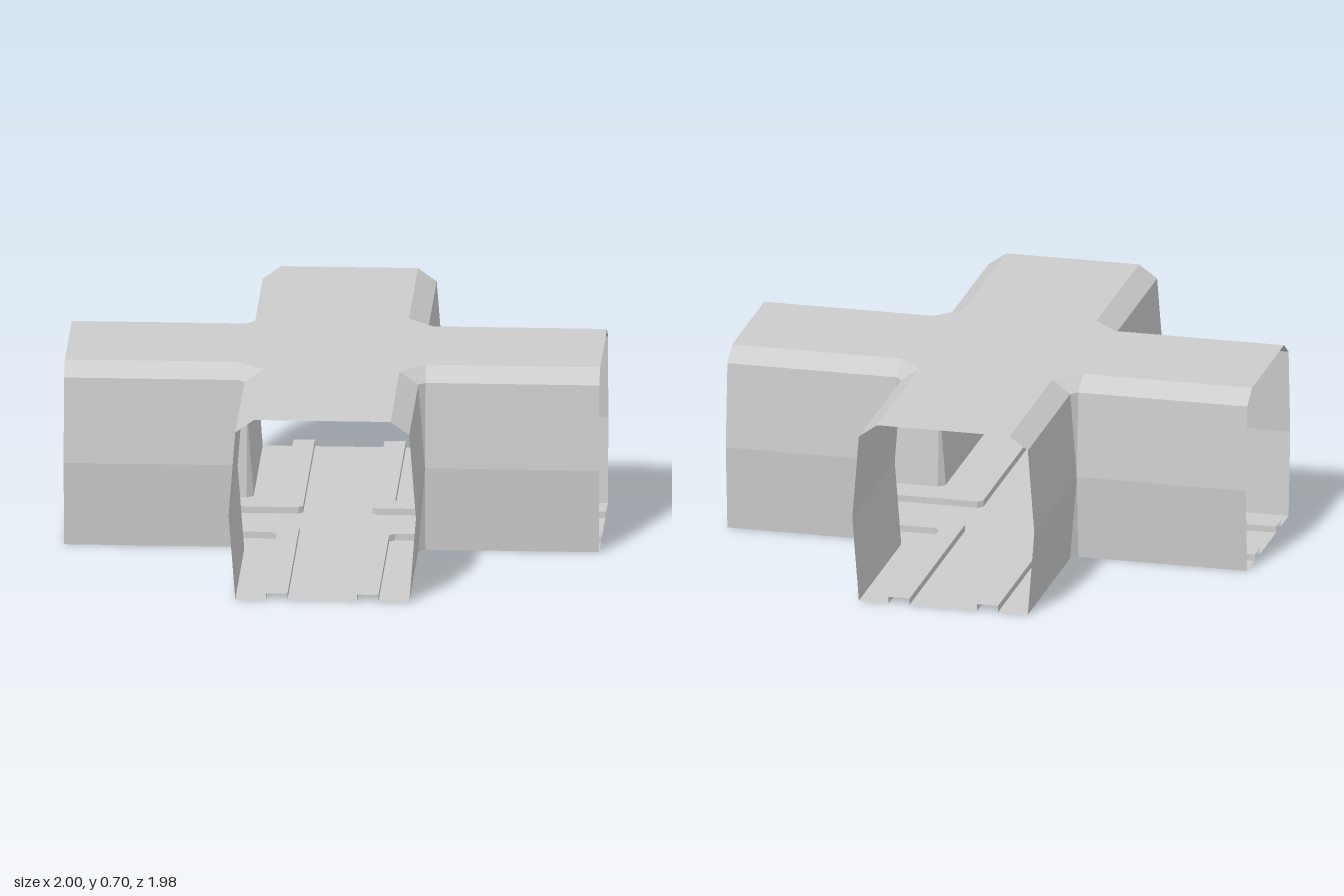
import * as THREE from 'three';

const Z_INSET = 0.008; // the z side is very slightly tighter than the x side

// Contour round one corner of the crossing: along an arm, across the corner cut, along the next arm
// a = distance from the arm's centre line, c = where the corner cut begins
const contour = ([a, c, y]) =>
  [[1, a], [c, a], [a, c], [a, 1]].map(([x, z]) => new THREE.Vector3(x, y, z - Z_INSET));

// Skin a list of contours, mirrored into the quadrant (sx, sz)
function skin(rows, sx, sz) {
  const pos = [];
  const tri = (...p) => {
    if (p[0].distanceTo(p[1]) < 1e-5 || p[1].distanceTo(p[2]) < 1e-5 || p[2].distanceTo(p[0]) < 1e-5) return;
    if (sx * sz < 0) p.reverse();
    p.forEach(v => pos.push(v.x * sx, v.y, v.z * sz));
  };
  const lines = rows.map(contour);
  for (let i = 0; i < lines.length - 1; i++) {
    for (let j = 0; j < 3; j++) {
      const a = lines[i][j], b = lines[i][j + 1], c = lines[i + 1][j + 1], d = lines[i + 1][j];
      tri(a, b, c);
      tri(a, c, d);
    }
  }
  const g = new THREE.BufferGeometry();
  g.setAttribute('position', new THREE.Float32BufferAttribute(pos, 3));
  g.computeVertexNormals();
  return g;
}

// Flat cross-shaped plate filling the space between the four contours
function crossPlate(row, up) {
  const pts = [];
  [[1, 1], [-1, 1], [-1, -1], [1, -1]].forEach(([sx, sz]) => {
    const line = contour(row).map(v => new THREE.Vector2(v.x * sx, v.z * sz));
    if (sx * sz < 0) line.reverse();
    pts.push(...line);
  });
  const g = new THREE.ShapeGeometry(new THREE.Shape(pts));
  g.rotateX(up ? -Math.PI / 2 : Math.PI / 2);
  g.translate(0, row[2], 0);
  return g;
}

export function createModel() {
  const group = new THREE.Group();
  group.name = 'tunnelCrossing';
  const grey = new THREE.MeshStandardMaterial({ color: 0xcccccc, side: THREE.DoubleSide });
  grey.name = 'light grey';
  const add = (name, geometry) => {
    const m = new THREE.Mesh(geometry, grey);
    m.name = name;
    group.add(m);
  };

  // Rows are [a, c, y]
  const floorEdge = [0.325, 0.35, 0], eave = [0.325, 0.35, 0.65], roofEdge = [0.255, 0.35, 0.7];
  const ridgeIn = [0.13, 0.147, 0], ridgeOut = [0.21, 0.23, 0];
  const raise = ([a, c]) => [a, c, 0.025];
  const parts = {
    floorRidge: [ridgeIn, raise(ridgeIn), raise(ridgeOut), ridgeOut],
    floorBorder: [ridgeOut, floorEdge],
    wall: [floorEdge, [0.35, 0.35, 0.325], eave], // bulges outward at mid height
    roofBevel: [eave, roofEdge],
  };
  for (const sx of [1, -1]) for (const sz of [1, -1]) {
    const where = (sz > 0 ? 'Front' : 'Back') + (sx > 0 ? 'Left' : 'Right');
    for (const [name, rows] of Object.entries(parts)) add(name + where, skin(rows, sx, sz));
  }

  // Flat floor and roof
  add('floor', crossPlate(ridgeIn, false));
  add('roof', crossPlate(roofEdge, true));
  return group;
}
